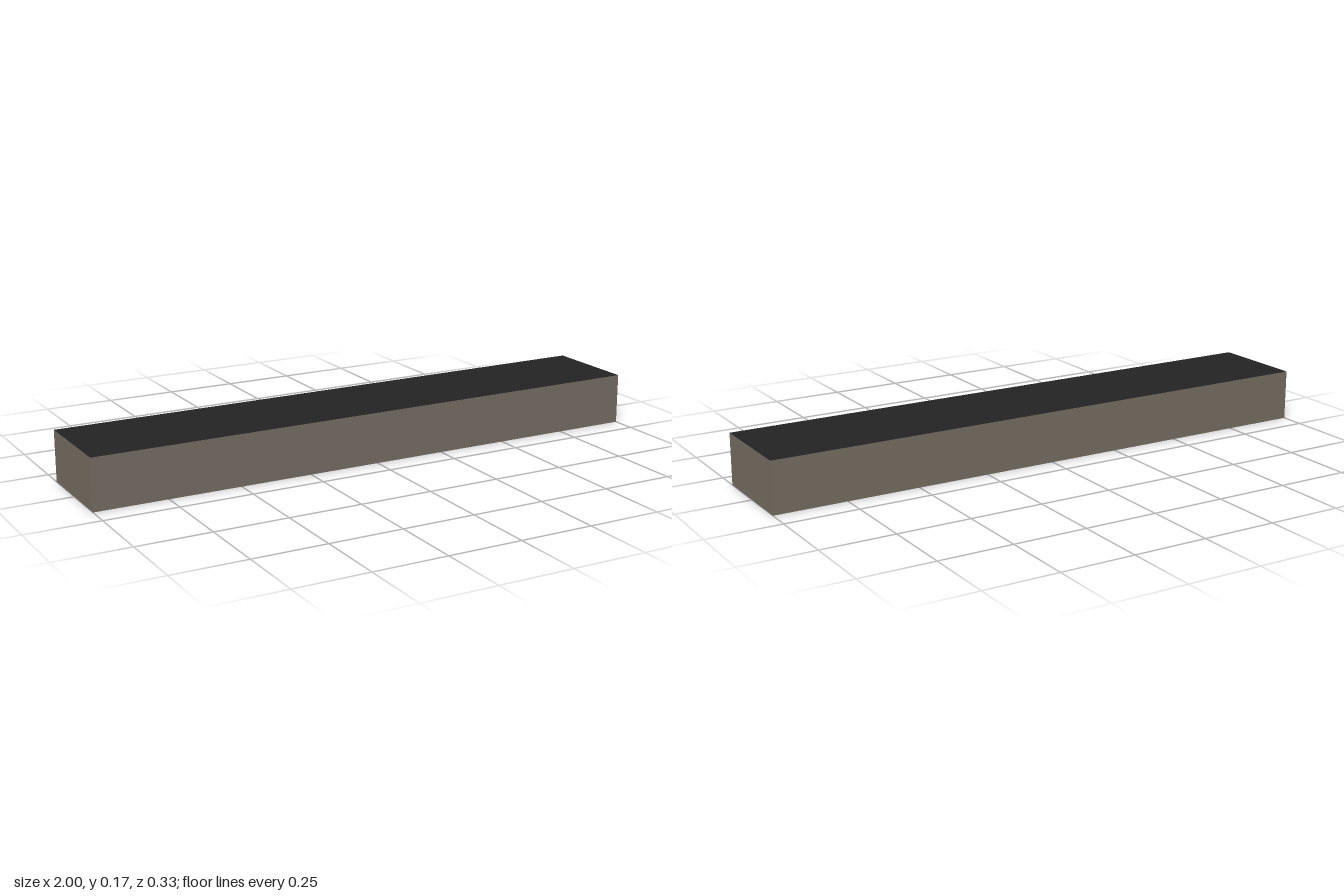
import * as THREE from 'three';

const L = 2, H = 0.175, W = 0.334;

export function createModel() {
  const model = new THREE.Group();
  model.name = 'platform';
  const wallMat = new THREE.MeshStandardMaterial({ color: 0x766e63, side: THREE.DoubleSide });
  wallMat.name = 'grey brown stone';
  const topMat = new THREE.MeshStandardMaterial({ color: 0x232323, side: THREE.DoubleSide });
  topMat.name = 'black asphalt';

  const add = (name, geometry, material, x, y, z, rx = 0, ry = 0) => {
    const mesh = new THREE.Mesh(geometry, material);
    mesh.name = name;
    mesh.position.set(x, y, z);
    mesh.rotation.set(rx, ry, 0);
    model.add(mesh);
  };

  // Thin shell, open underneath
  const longWall = new THREE.PlaneGeometry(L, H);
  const endWall = new THREE.PlaneGeometry(W, H);
  add('frontWall', longWall, wallMat, 0, H / 2, W / 2);
  add('backWall', longWall, wallMat, 0, H / 2, -W / 2, 0, Math.PI);
  add('leftEndWall', endWall, wallMat, L / 2, H / 2, 0, 0, Math.PI / 2);
  add('rightEndWall', endWall, wallMat, -L / 2, H / 2, 0, 0, -Math.PI / 2);
  add('topSurface', new THREE.PlaneGeometry(L, W), topMat, 0, H, 0, -Math.PI / 2);

  // Cross ribs inside, against the back wall: [x, reach from the wall]
  const ribs = [[0.57, 0.08], [0.43, 0.11], [-0.01, 0.14], [-0.2, 0.16], [-0.54, 0.17]];
  for (const [x, reach] of ribs) {
    add('innerRib', new THREE.BoxGeometry(0.008, H - 0.004, reach), wallMat,
      x, H / 2, -W / 2 + reach / 2 + 0.001);
  }
  return model;
}
